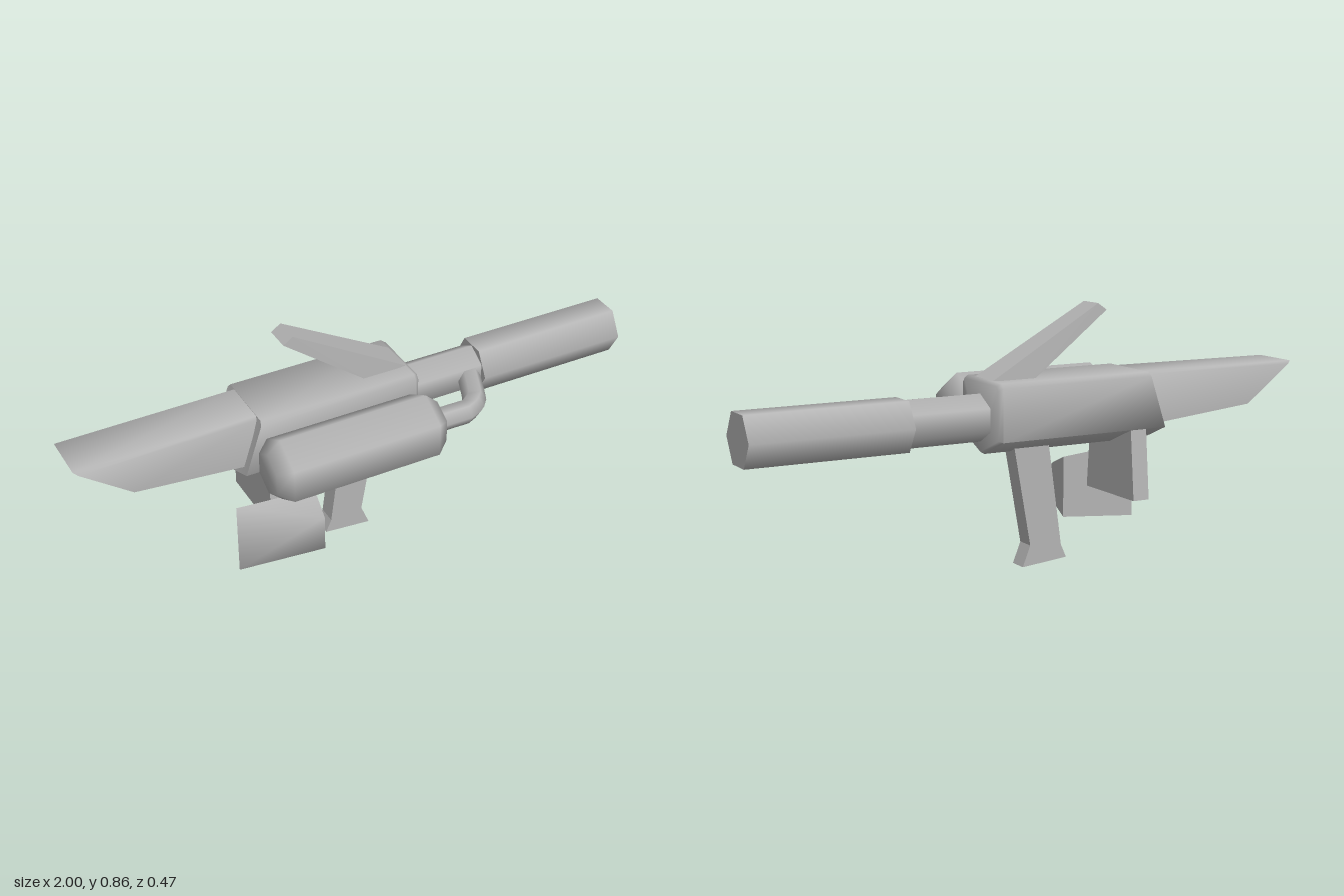
import * as THREE from 'three';
import { toCreasedNormals } from 'three/addons/utils/BufferGeometryUtils.js';
import { ConvexGeometry } from 'three/addons/geometries/ConvexGeometry.js';

const grey = new THREE.MeshStandardMaterial({ color: 0xb4b4b4 });
grey.name = 'plain grey';

const V = (x, y, z) => new THREE.Vector3(x, y, z);
const AXIS_Y = 0.505, MID_Z = -0.09;

// Closed skin through rings of [x, y, z], each counterclockwise seen from +x, ordered along +x
function loft(rings, crease) {
  const n = rings[0].length, index = [];
  for (let i = 0; i < rings.length - 1; i++) {
    for (let j = 0; j < n; j++) {
      const a = i * n + j, b = i * n + (j + 1) % n;
      index.push(a, b, a + n, b, b + n, a + n);
    }
  }
  const last = (rings.length - 1) * n;
  for (let j = 1; j < n - 1; j++) {
    index.push(0, j + 1, j, last, last + j, last + j + 1);
  }
  const g = new THREE.BufferGeometry();
  g.setAttribute('position', new THREE.Float32BufferAttribute(rings.flat(2), 3));
  g.setIndex(index);
  return toCreasedNormals(g, crease);
}

export function createModel() {
  const group = new THREE.Group();
  const add = (name, geometry) => {
    const mesh = new THREE.Mesh(geometry, grey);
    mesh.name = name;
    group.add(mesh);
    return mesh;
  };

  // Body: box with a V-shaped underside, sloped rear and bevelled front
  const profile = [[0, 0.385], [-0.127, 0.44], [-0.127, 0.613], [-0.115, 0.628],
    [0.115, 0.628], [0.127, 0.613], [0.127, 0.44]];
  const bodyRing = (xAt, s = 1) => profile.map(([z, y]) =>
    [xAt(y), AXIS_Y + (y - AXIS_Y) * s, MID_Z + z * s]);
  add('body', loft([
    bodyRing(y => -0.45 + Math.max(0, y - 0.44) * 0.33),
    bodyRing(() => 0.165),
    bodyRing(() => 0.18, 0.93),
  ], 1.2));

  // Stock: tapering block with a slanted butt
  const stockRing = (xTop, yTop, xBot, yBot) => {
    const c = 0.01, k = (xBot - xTop) * c / (yTop - yBot);
    return [[0, -0.093], [1, -0.093], [2, -0.083], [2, 0.083], [1, 0.093], [0, 0.093]].map(([level, z]) => [
      [xBot, xTop + k, xTop][level], [yBot, yTop - c, yTop][level], MID_Z - 0.002 + z]);
  };
  add('stock', loft([stockRing(-1, 0.622, -0.815, 0.485), stockRing(-0.37, 0.627, -0.37, 0.443)], 1.0));

  // Six-sided barrel and muzzle sleeve
  const hexRod = (name, r, x0, x1, turn) => {
    const g = new THREE.CylinderGeometry(r, r, x1 - x0, 6);
    g.rotateY(turn).rotateZ(-Math.PI / 2).translate((x0 + x1) / 2, AXIS_Y, MID_Z);
    add(name, g);
  };
  hexRod('barrel', 0.078, 0.15, 0.47, Math.PI / 2);
  hexRod('muzzleSleeve', 0.094, 0.455, 1, 0);

  // Side tank with rounded ends
  const tankProfile = [[0, -0.42], [0.075, -0.42], [0.115, -0.375], [0.115, 0.145], [0.075, 0.19], [0, 0.19]];
  const tank = new THREE.LatheGeometry(tankProfile.map(p => new THREE.Vector2(...p)), 6);
  tank.rotateY(Math.PI / 2).rotateZ(-Math.PI / 2).translate(0, AXIS_Y, 0.137);
  add('sideTank', tank);

  // Feed pipe from tank to barrel
  const path = new THREE.CatmullRomCurve3([
    V(0.17, AXIS_Y, 0.138), V(0.24, AXIS_Y, 0.138), V(0.305, AXIS_Y, 0.138),
    V(0.355, AXIS_Y, 0.1), V(0.385, AXIS_Y, 0.035), V(0.42, AXIS_Y, -0.05),
  ], false, 'catmullrom', 0.2);
  add('feedPipe', new THREE.TubeGeometry(path, 14, 0.04, 6));

  // Grip with a flared foot
  const gripShape = new THREE.Shape([[-0.055, 0.42], [-0.105, 0.06], [-0.125, 0.015], [0.04, 0],
    [0.012, 0.07], [0.075, 0.42]].map(p => new THREE.Vector2(...p)));
  const grip = new THREE.ExtrudeGeometry(gripShape, { depth: 0.066, bevelEnabled: false });
  grip.translate(0, 0, -0.121);
  add('grip', grip);

  // Flat magazine, wider towards the bottom
  const magazine = [];
  for (const x of [-0.375, -0.315]) {
    for (const [y, half] of [[0.205, 0.146], [0.44, 0.125]]) {
      magazine.push(V(x, y, MID_Z - half), V(x, y, MID_Z + half));
    }
  }
  add('magazine', new ConvexGeometry(magazine));

  // Sloping top fin
  const fin = [[-0.268, 0.833, 0.044], [-0.235, 0.856, 0.044], [0.165, 0.63, 0.06], [0.02, 0.62, 0.06]]
    .flatMap(([x, y, half]) => [V(x, y, MID_Z + half), V(x, y, MID_Z - half)]);
  add('topFin', new ConvexGeometry(fin));

  // Wedge-shaped side guard
  const guard = [[-0.5, 0.13, 0.055], [-0.22, 0.105, 0.055], [-0.235, 0.065, 0.158]]
    .flatMap(([x, half, z]) => [V(x, 0.21 + half, z), V(x, 0.21 - half, z)]);
  add('sideGuard', toCreasedNormals(new ConvexGeometry(guard), 1.4));

  return group;
}
